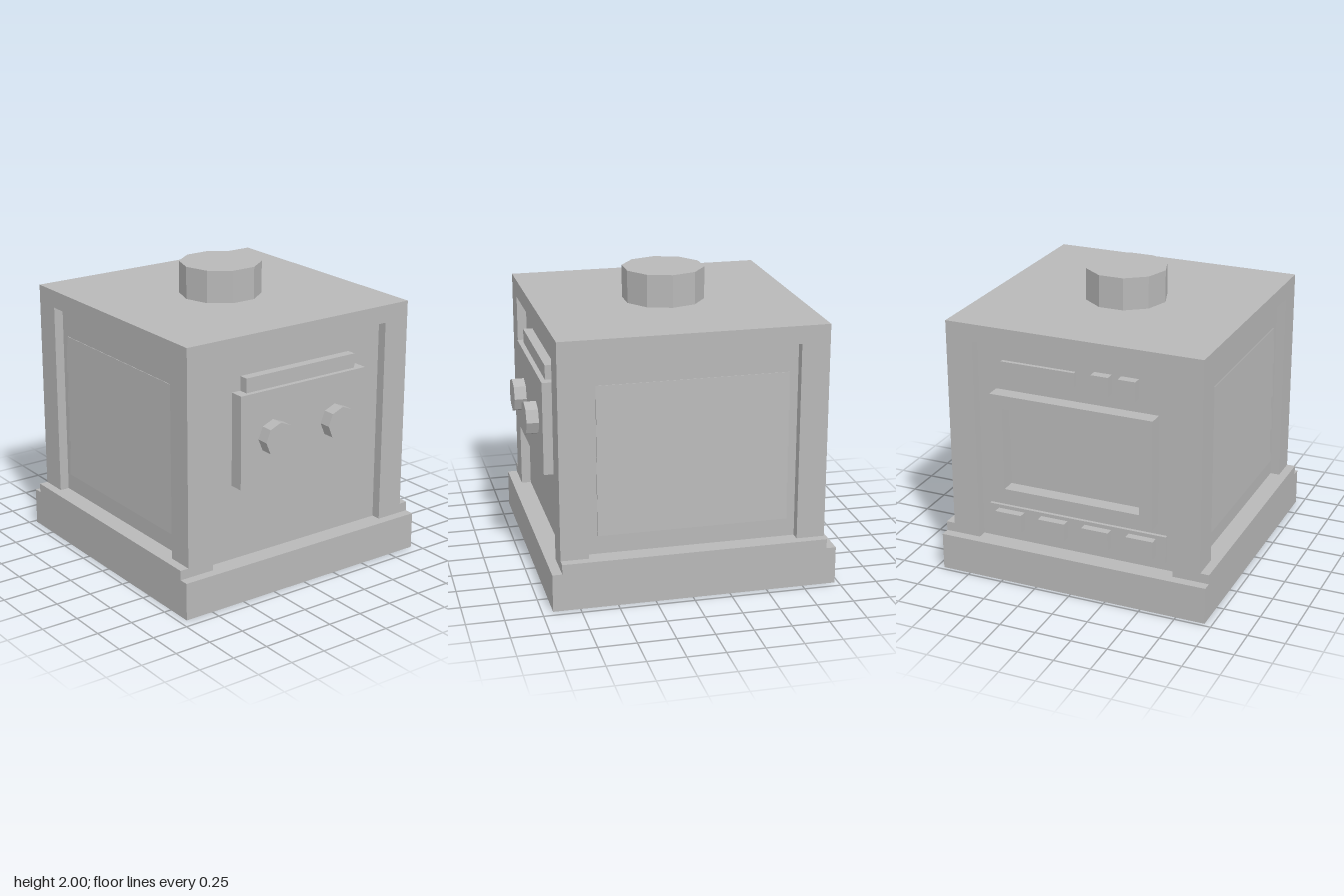
import * as THREE from 'three';

export function createModel() {
  const model = new THREE.Group();
  model.name = 'boxMachine';
  const grey = new THREE.MeshStandardMaterial({ color: 0xb8b8b8 });
  grey.name = 'grey';

  const add = (name, geometry, parent = model) => {
    const mesh = new THREE.Mesh(geometry, grey);
    mesh.name = name;
    parent.add(mesh);
    return mesh;
  };
  // Box given by its limits on each axis
  const box = (name, x0, x1, y0, y1, z0, z1) =>
    add(name, new THREE.BoxGeometry(x1 - x0, y1 - y0, z1 - z0))
      .position.set((x0 + x1) / 2, (y0 + y1) / 2, (z0 + z1) / 2);

  // Plinth, recessed core and lid
  box('plinth', -0.95, 0.95, 0, 0.255, -0.975, 0.93);
  box('core', -0.825, 0.825, 0.255, 1.66, -0.845, 0.8);
  box('lid', -0.89, 0.89, 1.66, 1.78, -0.91, 0.865);

  // Corner posts, side sills and louvres
  const pitch = 0.2525;
  const profile = new THREE.Shape([
    new THREE.Vector2(0, 0), new THREE.Vector2(0.018, 0),
    new THREE.Vector2(0.004, pitch), new THREE.Vector2(0, pitch),
  ]);
  const slat = new THREE.ExtrudeGeometry(profile, { depth: 1.27, bevelEnabled: false });
  slat.translate(0, 0, -0.635);
  for (const s of [-1, 1]) {
    const span = (a, b) => (s > 0 ? [a, b] : [-b, -a]);
    box('frontPost', ...span(0.7, 0.89), 0.32, 1.66, 0.68, 0.865);
    box('backPost', ...span(0.7, 0.89), 0.32, 1.66, -0.91, -0.72);
    box('sideSill', ...span(0.82, 0.95), 0.255, 0.32, -0.91, 0.865);
    box('frontSill', ...span(0.7, 0.82), 0.255, 0.32, 0.8, 0.865);
    box('backSill', ...span(0.7, 0.82), 0.255, 0.32, -0.91, -0.845);

    const louvres = new THREE.Group();
    louvres.name = 'sideLouvres';
    louvres.position.set(s * 0.825, 0.45, -0.025);
    louvres.rotation.y = s > 0 ? 0 : Math.PI;
    for (let i = 0; i < 4; i++) add('slat', slat, louvres).position.y = i * pitch;
    model.add(louvres);
  }

  // Ten-sided cap on top
  add('topCap', new THREE.CylinderGeometry(0.278, 0.278, 0.22, 10, 1, false, Math.PI / 10).toNonIndexed())
    .position.set(0, 1.89, -0.025);

  // Front plate with brow and two eight-sided knobs
  box('frontPlate', -0.505, 0.505, 0.77, 1.4, 0.79, 0.897);
  box('brow', -0.44, 0.44, 1.4, 1.497, 0.79, 0.864);
  for (const x of [-0.253, 0.253]) {
    const knob = add('knob', new THREE.CylinderGeometry(0.114, 0.114, 0.085, 8));
    knob.rotation.x = Math.PI / 2;
    knob.position.set(x, 1.085, 0.9375);
  }

  // Back window frame with its opening and blind
  const frame = new THREE.Shape([
    new THREE.Vector2(-0.57, 0.58), new THREE.Vector2(0.57, 0.58),
    new THREE.Vector2(0.57, 1.335), new THREE.Vector2(-0.57, 1.335),
  ]);
  frame.holes.push(new THREE.Path([
    new THREE.Vector2(-0.48, 0.67), new THREE.Vector2(-0.48, 1.24),
    new THREE.Vector2(0.48, 1.24), new THREE.Vector2(0.48, 0.67),
  ]));
  add('windowFrame', new THREE.ExtrudeGeometry(frame, { depth: 0.1, bevelEnabled: false }))
    .position.z = -0.945;
  box('windowBlind', -0.48, 0.48, 1.07, 1.24, -0.853, -0.845);

  // Back label bar and two switches
  box('labelBar', 0, 0.52, 1.445, 1.54, -0.872, -0.84);
  for (const x of [-0.19, -0.375]) {
    box('switch', x - 0.06, x + 0.06, 1.43, 1.56, -0.905, -0.84);
  }

  // Back button strip
  box('buttonStrip', -0.635, 0.635, 0.32, 0.505, -0.868, -0.84);
  for (let i = 0; i < 4; i++) {
    const x = -0.47 + i * 0.3145;
    box('button', x - 0.095, x + 0.095, 0.355, 0.48, -0.922, -0.86);
  }

  // Flat normals on every faceted part
  model.traverse((o) => {
    if (!o.isMesh || o.geometry.type !== 'CylinderGeometry' && o.name !== 'topCap') return;
    if (o.geometry.index) o.geometry = o.geometry.toNonIndexed();
    o.geometry.computeVertexNormals();
  });
  return model;
}
